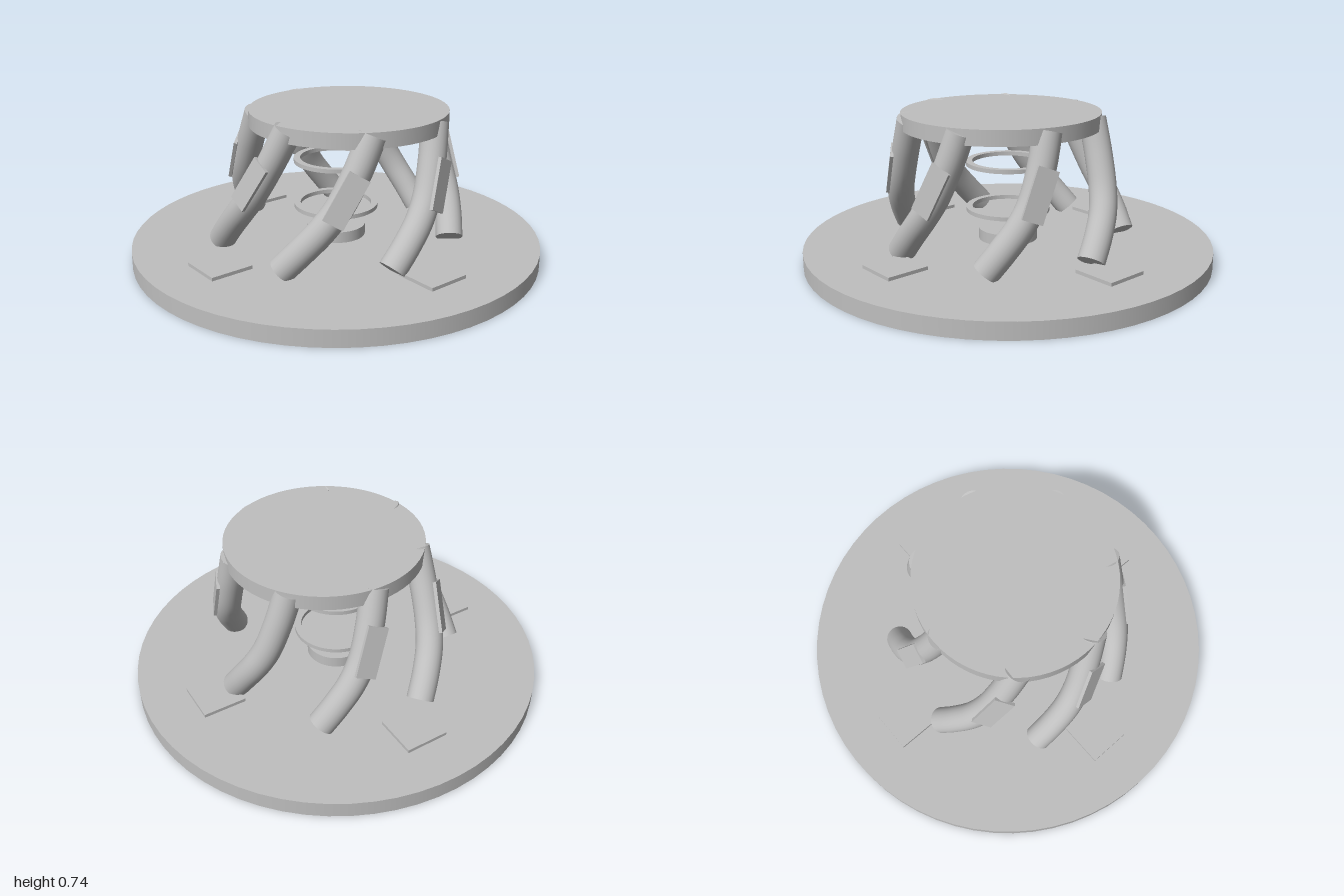
import * as THREE from 'three';

export function createModel() {
  const model = new THREE.Group();
  const grey = new THREE.MeshStandardMaterial({ color: 0xbfbfbf });
  grey.name = 'plain grey';

  const add = (name, geometry, x = 0, y = 0, z = 0) => {
    const mesh = new THREE.Mesh(geometry, grey);
    mesh.name = name;
    mesh.position.set(x, y, z);
    model.add(mesh);
    return mesh;
  };
  const disc = (name, r, y0, y1, x = 0, z = 0) =>
    add(name, new THREE.CylinderGeometry(r, r, y1 - y0, 64), x, (y0 + y1) / 2, z);

  // Ground disc, offset upper platform and central drum
  disc('base', 1, 0, 0.08);
  disc('platform', 0.475, 0.66, 0.732, 0.025, 0.065);
  disc('drum', 0.145, 0.08, 0.135);

  // Flat rings floating above the drum
  const ringShape = new THREE.Shape().absarc(0, 0, 0.206, 0, Math.PI * 2, false);
  ringShape.holes.push(new THREE.Path().absarc(0, 0, 0.175, 0, Math.PI * 2, true));
  for (const y of [0.225, 0.455]) {
    const ring = new THREE.ExtrudeGeometry(ringShape, { depth: 0.02, bevelEnabled: false, curveSegments: 48 });
    ring.rotateX(-Math.PI / 2);
    add('ring', ring, 0, y, 0);
  }

  // Square pads on the base
  for (let i = 0; i < 4; i++) {
    const a = (i * Math.PI) / 2;
    add('pad', new THREE.BoxGeometry(0.21, 0.017, 0.21), Math.cos(a) * 0.675, 0.088, Math.sin(a) * 0.675);
  }

  // Twisting legs: height, radius and turn in degrees along each leg
  const profile = [
    [0.105, 0.565, 0], [0.2, 0.545, -8], [0.3, 0.525, -16.5],
    [0.4, 0.5, -23.5], [0.55, 0.465, -31], [0.708, 0.43, -38],
  ];
  const legRadius = 0.065;
  const count = 7;
  for (let i = 0; i < count; i++) {
    const start = (i / count) * Math.PI * 2;
    const points = profile.map(([y, r, turn]) => {
      const a = start + THREE.MathUtils.degToRad(turn);
      const shift = (y - 0.105) / 0.6; // legs lean towards the offset platform
      return new THREE.Vector3(Math.cos(a) * r + 0.025 * shift, y, Math.sin(a) * r + 0.065 * shift);
    });
    const curve = new THREE.CatmullRomCurve3(points);
    add('leg', new THREE.TubeGeometry(curve, 32, legRadius, 24));

    // Caps closing both leg ends
    for (const t of [0, 1]) {
      const p = curve.getPointAt(t);
      const out = curve.getTangentAt(t).multiplyScalar(t ? 1 : -1);
      const cap = add('legEnd', new THREE.CircleGeometry(legRadius, 24), p.x, p.y, p.z);
      cap.quaternion.setFromUnitVectors(new THREE.Vector3(0, 0, 1), out);
    }

    // Panel on the outer side of every leg but the first
    if (i === 0) continue;
    const p = curve.getPointAt(0.6);
    const up = curve.getPointAt(0.75).sub(curve.getPointAt(0.45)).normalize();
    const normal = new THREE.Vector3(p.x - 0.015, 0, p.z - 0.04).normalize();
    normal.addScaledVector(up, -normal.dot(up)).normalize();
    const side = new THREE.Vector3().crossVectors(up, normal);
    const panel = add('legPanel', new THREE.BoxGeometry(0.1, 0.24, 0.016));
    panel.quaternion.setFromRotationMatrix(new THREE.Matrix4().makeBasis(side, up, normal));
    panel.position.copy(p).addScaledVector(normal, 0.06);
  }
  return model;
}
